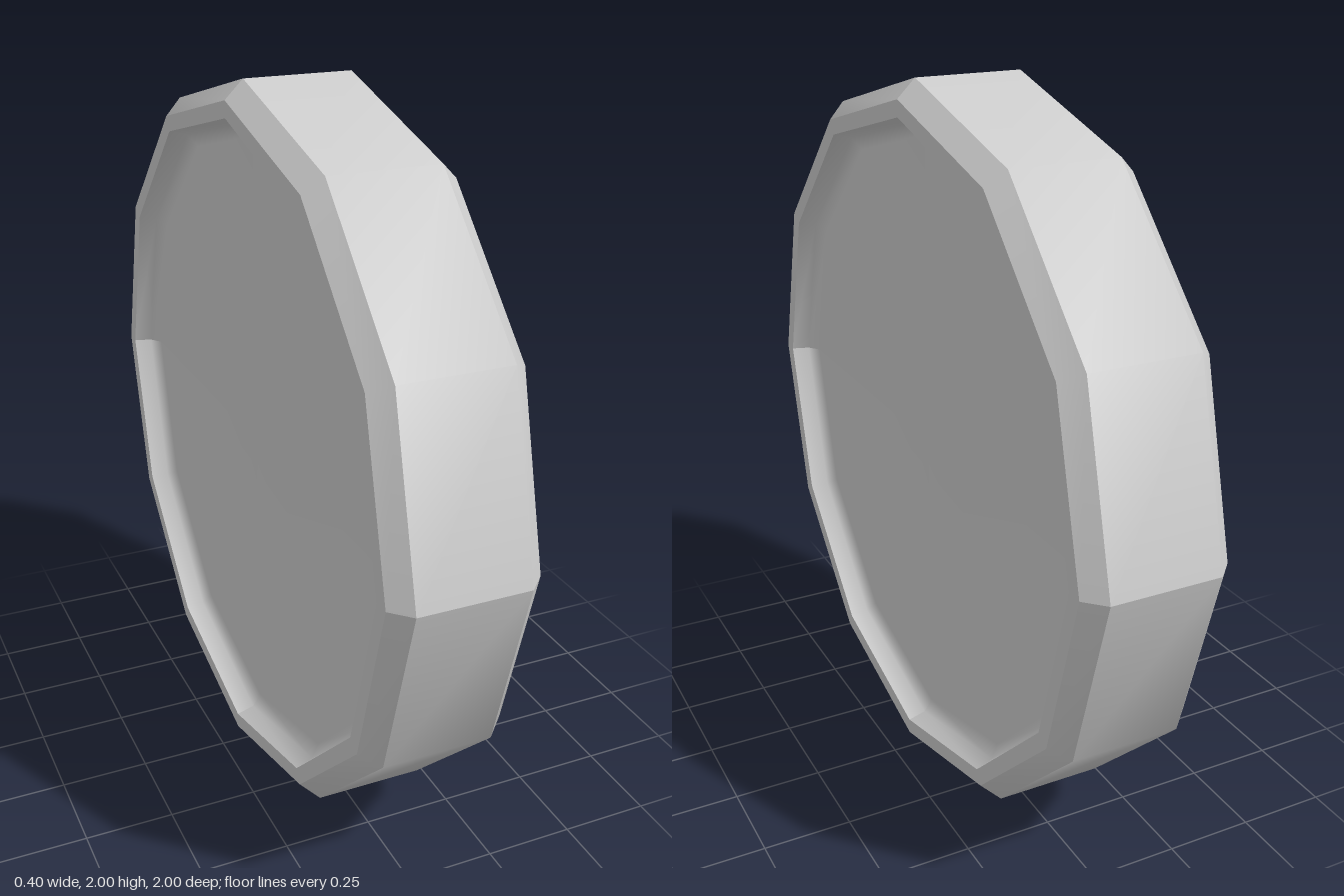
import * as THREE from 'three';

export function createModel() {
  const group = new THREE.Group();
  group.name = 'disc';
  const material = new THREE.MeshStandardMaterial({ color: 0xcccccc });

  // Turned band around the x axis: 12 sides, shaded smoothly within each quarter.
  // profile: [radius, x] pairs, running from -x to +x on the outside
  function addBand(name, profile) {
    const band = new THREE.Group();
    band.name = name;
    const points = profile.map(([r, x]) => new THREE.Vector2(r, x));
    for (let q = 0; q < 4; q++) {
      const geometry = new THREE.LatheGeometry(points, 3, q * Math.PI / 2, Math.PI / 2);
      geometry.rotateZ(-Math.PI / 2);
      geometry.computeVertexNormals();
      const mesh = new THREE.Mesh(geometry, material);
      mesh.name = name + 'Quarter';
      band.add(mesh);
    }
    band.position.y = 1;
    group.add(band);
  }

  // Outer tread
  addBand('tread', [[1, -0.15], [1, 0.15]]);

  // Both faces: chamfer, flat rim and recessed panel with a soft inner edge
  for (const side of [-1, 1]) {
    const face = (name, profile) => {
      const p = profile.map(([r, x]) => [r, x * side]);
      addBand(name, side > 0 ? p : p.reverse());
    };
    face('chamfer', [[1, 0.15], [0.95, 0.2]]);
    face('rim', [[0.95, 0.2], [0.905, 0.2]]);
    face('recessedPanel', [[0.905, 0.2], [0.89, 0.15], [0.855, 0.125], [0, 0.125]]);
  }
  return group;
}
